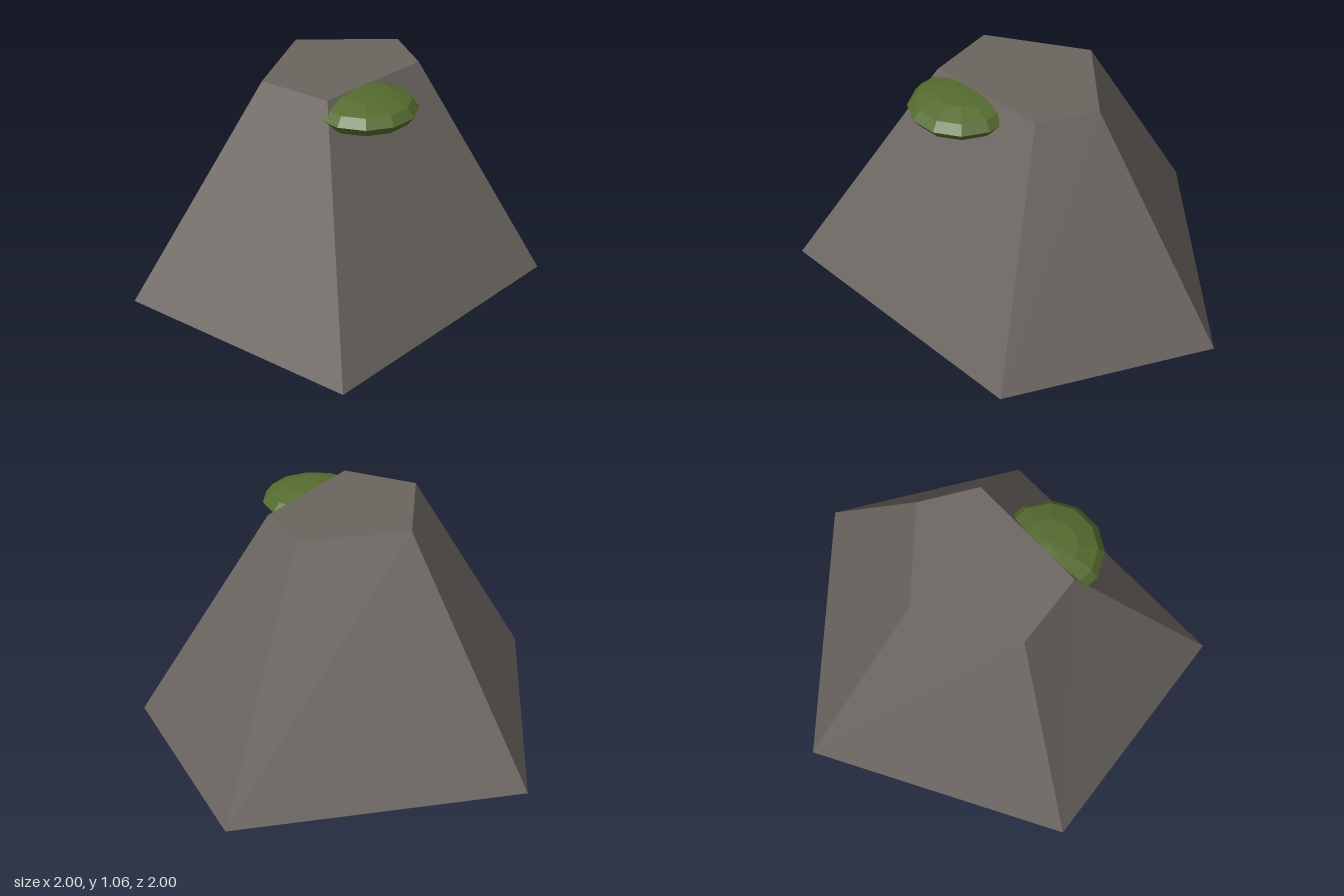
import * as THREE from 'three';

const stone = new THREE.MeshStandardMaterial({ color: 0x6b6560 });
stone.name = 'stone';
stone.flatShading = true;
const moss = new THREE.MeshStandardMaterial({ color: 0x556b2f });
moss.name = 'moss';
moss.flatShading = true;

// Closed faceted solid between two matching rings of [x, z] corners
function frustum(base, top, height) {
  const n = base.length;
  const low = base.map(([x, z]) => [x, 0, z]);
  const high = top.map(([x, z]) => [x, height, z]);
  const pos = [];
  const tri = (a, b, c) => pos.push(...a, ...b, ...c);
  for (let i = 0; i < n; i++) {
    const j = (i + 1) % n;
    tri(low[j], low[i], high[i]);
    tri(low[j], high[i], high[j]);
  }
  for (let i = 1; i < n - 1; i++) {
    tri(low[0], low[i], low[i + 1]);
    tri(high[0], high[i + 1], high[i]);
  }
  const geometry = new THREE.BufferGeometry();
  geometry.setAttribute('position', new THREE.Float32BufferAttribute(pos, 3));
  geometry.computeVertexNormals();
  return geometry;
}

export function createModel() {
  const model = new THREE.Group();
  model.name = 'mossyRock';

  // Five-sided rock, narrowing to a flat top
  const base = [[-0.635, -1], [0.705, -1], [1, 0], [0, 1], [-1, 0.28]];
  const top = [[-0.215, -0.445], [0.29, -0.445], [0.375, -0.16], [-0.06, 0.275], [-0.36, 0.06]];
  const rock = new THREE.Mesh(frustum(base, top, 1.06), stone);
  rock.name = 'rock';
  model.add(rock);

  // Flattened moss clump, half sunk into the upper edge
  const clump = new THREE.Mesh(new THREE.SphereGeometry(1, 12, 6), moss);
  clump.name = 'mossClump';
  clump.scale.set(0.25, 0.085, 0.25);
  clump.position.set(0.108, 0.978, 0.162);
  model.add(clump);

  return model;
}
